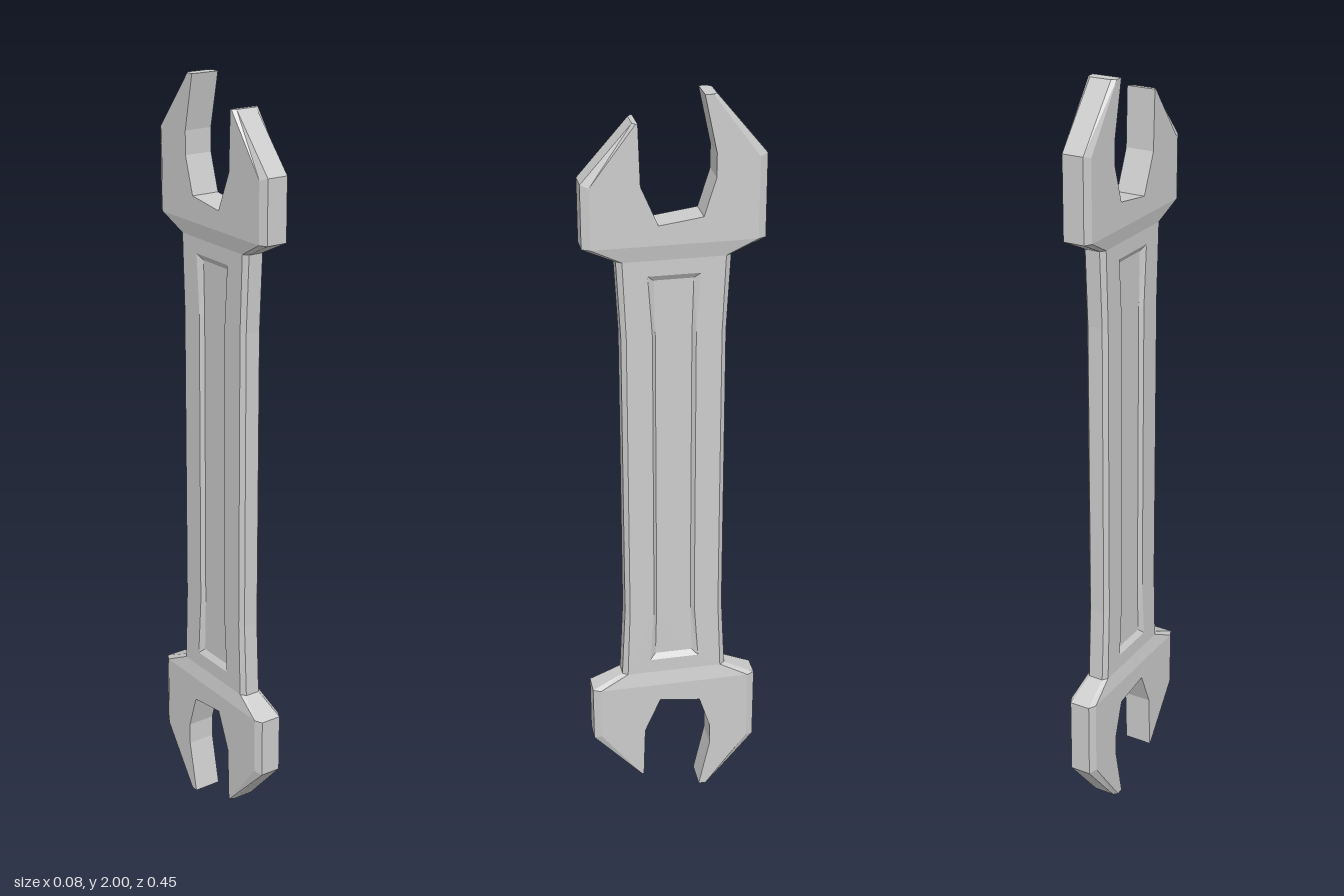
import * as THREE from 'three';

// Collects flat-shaded triangles, dropping zero-area ones
class Builder {
  constructor() { this.pos = []; }
  tri(a, b, c, flip) {
    const area = b.clone().sub(a).cross(c.clone().sub(a)).length();
    if (area < 1e-9) return;
    for (const p of flip ? [a, c, b] : [a, b, c]) this.pos.push(p.x, p.y, p.z);
  }
  quad(a, b, c, d, flip) { this.tri(a, b, c, flip); this.tri(a, c, d, flip); }
  // Fills a polygon given as clockwise points seen from +x, with an optional hole
  cap(points, hole, flip) {
    const flat = (list) => list.map((p) => new THREE.Vector2(-p.z, p.y));
    const contour = [...points].reverse();
    const all = [...contour, ...hole];
    for (const [a, b, c] of THREE.ShapeUtils.triangulateShape(flat(contour), hole.length ? [flat(hole)] : [])) {
      this.tri(all[a], all[b], all[c], flip);
    }
  }
  mesh(name) {
    const geo = new THREE.BufferGeometry();
    geo.setAttribute('position', new THREE.Float32BufferAttribute(this.pos, 3));
    geo.computeVertexNormals();
    const mesh = new THREE.Mesh(geo, new THREE.MeshStandardMaterial({ color: 0xcccccc, flatShading: true }));
    mesh.name = name;
    return mesh;
  }
}

const HEAD = 0.038, HANDLE = 0.03, BEVEL = 0.01, RECESS = 0.01;

// Upper half outline: z, height above the middle, then the inset z and height of the bevel
const UPPER = [
  [0.132, 0.40, 0.12, 0.40],
  [0.142, 0.60, 0.128, 0.60],
  [0.225, 0.64, 0.205, 0.64],
  [0.225, 0.80, 0.205, 0.793],
  [0.10, 0.94, 0.093, 0.94],
  // open jaw, without bevel
  [0.088, 0.94], [0.083, 0.79], [0.04, 0.69], [-0.07, 0.705],
  [-0.10, 0.80], [-0.10, 0.86], [-0.07, 1.0],
  [-0.10, 1.0, -0.09, 1.0],
  [-0.225, 0.85, -0.205, 0.845],
  [-0.225, 0.64, -0.205, 0.64],
  [-0.142, 0.60, -0.128, 0.60],
  [-0.132, 0.40, -0.12, 0.40],
];

const mirrorDown = (list) => list.map(([z, v, iz, iv]) => [z, -v, iz, iv === undefined ? iv : -iv]).reverse();
const thickness = (v) => (Math.abs(v) > 0.62 ? HEAD : HANDLE);

// Wall corner and face corner of an outline point on side s (+1 or -1)
const wallPoint = ([z, v, iz], s) =>
  new THREE.Vector3(s * (thickness(v) - (iz === undefined ? 0 : BEVEL)), v + 1, z);
const facePoint = ([z, v, iz = z, iv = v], s) => new THREE.Vector3(s * thickness(v), iv + 1, iz);

export function createModel() {
  const group = new THREE.Group();
  group.name = 'openEndedWrench';
  const lower = mirrorDown(UPPER);
  const ring = [...UPPER, ...lower];

  // Outer rim and the jaw walls, with bevels on both sides
  const rim = new Builder();
  ring.forEach((p, i) => {
    const q = ring[(i + 1) % ring.length];
    rim.quad(wallPoint(p, 1), wallPoint(q, 1), wallPoint(q, -1), wallPoint(p, -1));
    for (const s of [1, -1]) {
      rim.quad(facePoint(p, s), facePoint(q, s), wallPoint(q, s), wallPoint(p, s), s < 0);
    }
  });
  group.add(rim.mesh('bevelledRim'));

  // Flat faces of the two heads and the slopes down to the handle
  for (const [name, half] of [['upperHeadFaces', UPPER], ['lowerHeadFaces', lower]]) {
    const head = new Builder();
    for (const s of [1, -1]) {
      const f = half.map((p) => facePoint(p, s));
      const n = f.length;
      head.cap(f.slice(2, n - 2), [], s < 0);
      head.quad(f[n - 2], f[n - 3], f[2], f[1], s < 0);
    }
    group.add(head.mesh(name));
  }

  // Handle faces around the long recess
  const opening = [[0.066, 0.56], [0.055, 0.40]];
  const floor = [[0.05, 0.545], [0.046, 0.40]];
  const loop = (pts, x) => {
    const [[z0, v0], [z1, v1]] = pts;
    return [[z1, v1], [z0, v0], [-z0, v0], [-z1, v1], [-z1, -v1], [-z0, -v0], [z0, -v0], [z1, -v1]]
      .map(([z, v]) => new THREE.Vector3(x, v + 1, z));
  };
  const handle = new Builder(), panel = new Builder();
  for (const s of [1, -1]) {
    const outline = ring.filter((p) => Math.abs(p[1]) < 0.62).map((p) => facePoint(p, s));
    const top = loop(opening, s * HANDLE), bottom = loop(floor, s * (HANDLE - RECESS));
    handle.cap(outline, top, s < 0);
    // Sloping sides and floor of the recess
    top.forEach((p, i) => {
      const j = (i + 1) % top.length;
      panel.quad(bottom[i], bottom[j], top[j], p, s < 0);
    });
    panel.cap(bottom, [], s < 0);
  }
  group.add(handle.mesh('handleFaces'), panel.mesh('recessedPanels'));
  return group;
}
